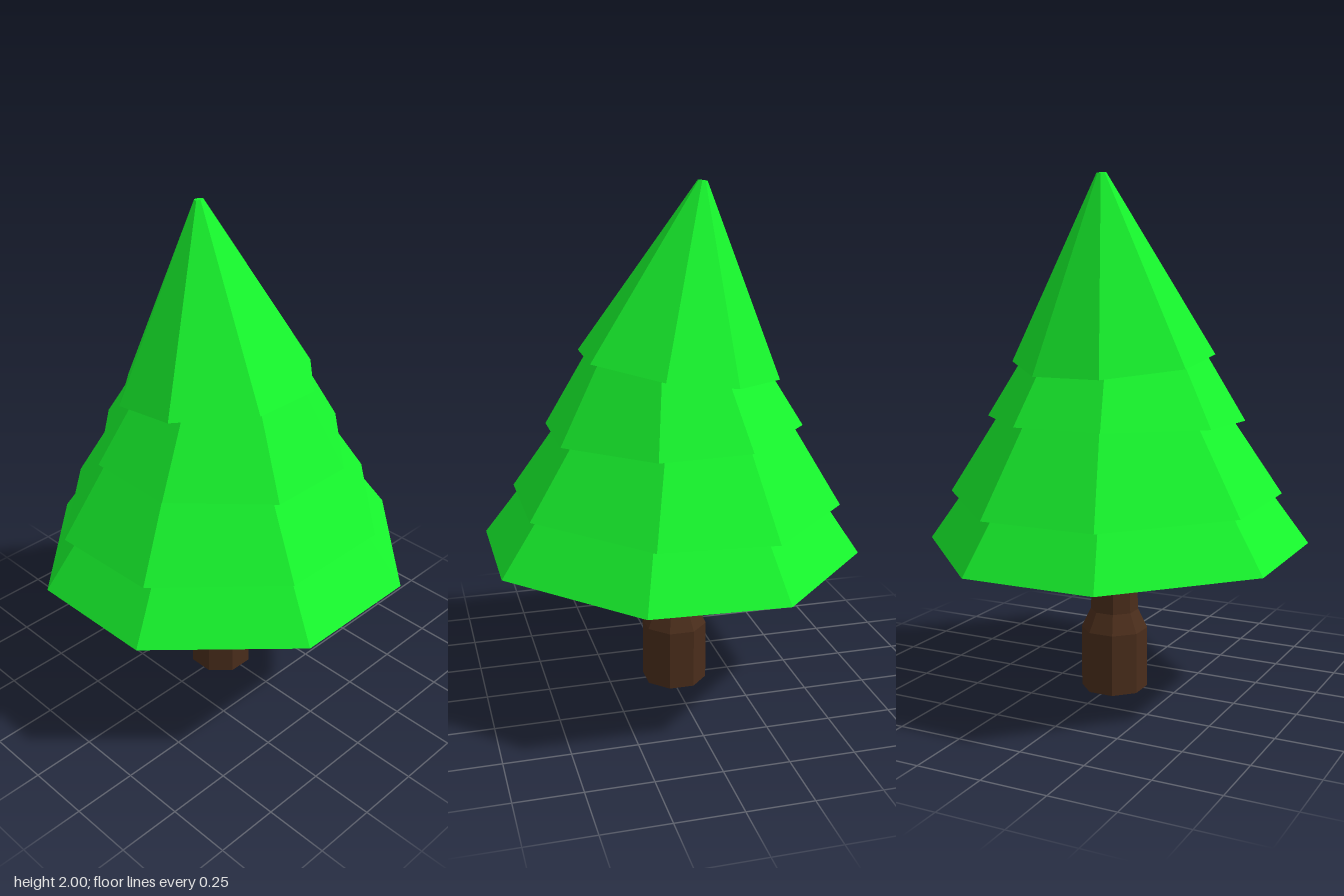
import * as THREE from 'three';

const FLAT = Math.cos(Math.PI / 8); // octagon: flat half-width / corner radius

// Octagonal frustum standing on its bottom face, with the straight-on sides slightly narrowed
function tierGeometry(bottomHalf, topHalf, height) {
  const geo = new THREE.CylinderGeometry(topHalf / FLAT, bottomHalf / FLAT, height, 8, 1, false, Math.PI / 8);
  geo.translate(0, height / 2, 0);
  const pos = geo.attributes.position;
  for (let i = 0; i < pos.count; i++) {
    const x = pos.getX(i), z = pos.getZ(i);
    if (Math.abs(x) < Math.abs(z)) pos.setX(i, x * 0.9);
    else pos.setZ(i, z * 0.9);
  }
  geo.computeVertexNormals();
  return geo;
}

export function createModel() {
  const tree = new THREE.Group();
  tree.name = 'pineTree';
  const bark = new THREE.MeshStandardMaterial({ color: 0x4a2d1b, flatShading: true });
  const needles = new THREE.MeshStandardMaterial({ color: 0x17f52d, flatShading: true });

  // Trunk: wide foot, short shoulder, slim stem running up into the foliage
  const profile = [[0, 0], [0.12, 0], [0.12, 0.24], [0.087, 0.315], [0.074, 0.62], [0, 0.62]]
    .map(([half, y]) => new THREE.Vector2(half / FLAT, y));
  const trunk = new THREE.Mesh(new THREE.LatheGeometry(profile, 8, Math.PI / 8), bark);
  trunk.name = 'trunk';
  trunk.position.z = -0.02;
  tree.add(trunk);

  // Foliage tiers, each leaning a little differently
  const tiers = [
    { name: 'bottomTier', bottom: 0.70, top: 0.43, height: 0.40, y: 0.588, z: 0, lean: -0.025, yaw: 0 },
    { name: 'lowerTier', bottom: 0.608, top: 0.345, height: 0.43, y: 0.785, z: -0.022, lean: -0.033, yaw: 0 },
    { name: 'upperTier', bottom: 0.47, top: 0.30, height: 0.30, y: 1.075, z: -0.013, lean: 0.021, yaw: 0 },
    { name: 'topTier', bottom: 0.368, top: 0.017, height: 0.695, y: 1.31, z: -0.035, lean: -0.133, yaw: -0.02 },
  ];
  for (const t of tiers) {
    const mesh = new THREE.Mesh(tierGeometry(t.bottom, t.top, t.height), needles);
    mesh.name = t.name;
    mesh.position.set(0, t.y, t.z);
    mesh.rotation.set(t.lean, t.yaw, 0);
    tree.add(mesh);
  }
  return tree;
}
